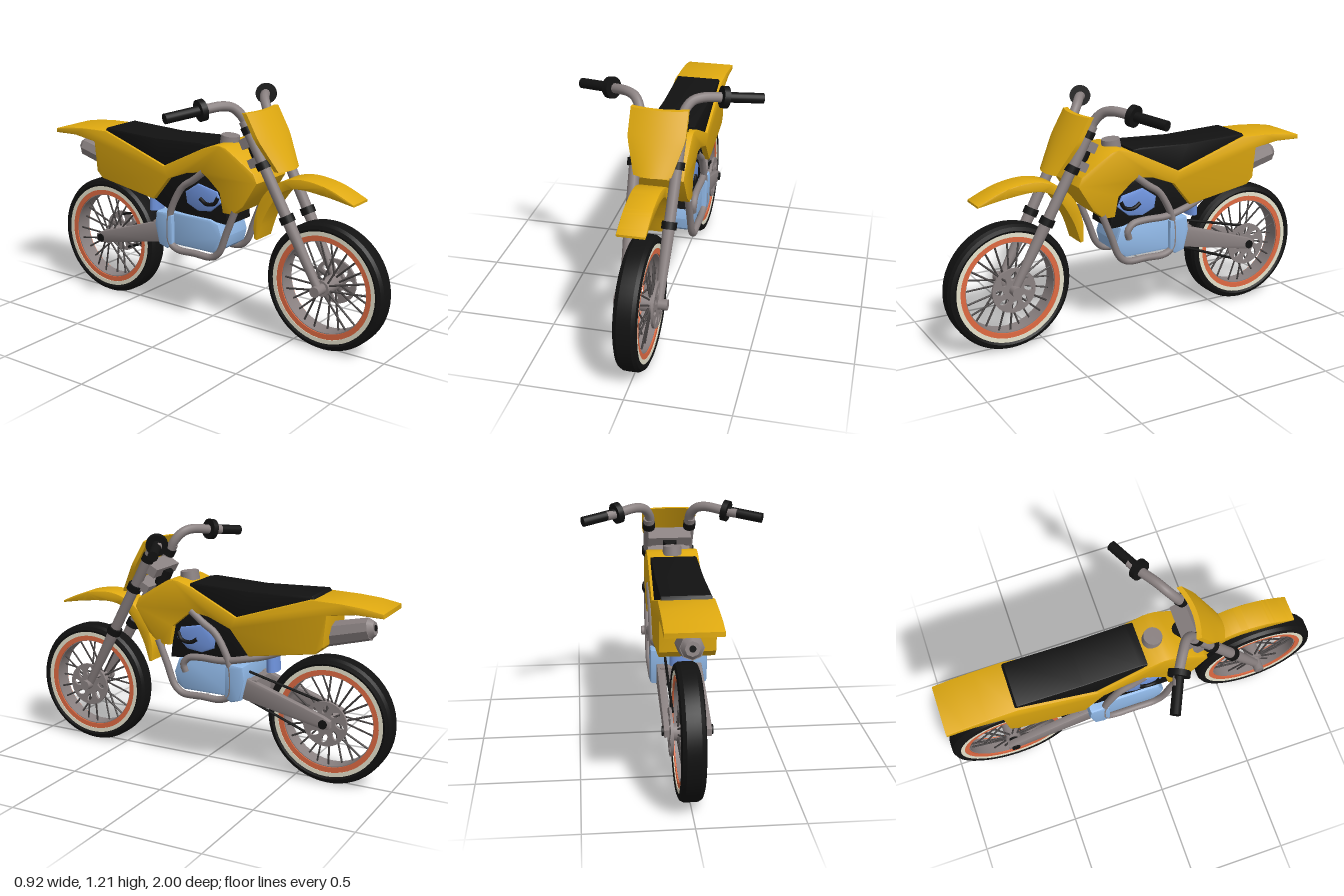
import * as THREE from 'three';
import { toCreasedNormals } from 'three/addons/utils/BufferGeometryUtils.js';

const mat = (name, color) => Object.assign(new THREE.MeshStandardMaterial({ color }), { name });
const yellow = mat('yellow bodywork', 0xe0aa10);
const black = mat('black rubber', 0x121212);
const gray = mat('gray metal', 0x8a8181);
const darkGray = mat('dark spokes', 0x494545);
const lightBlue = mat('light blue casing', 0x93bcec);
const blue = mat('blue cylinder', 0x6f94de);
const orange = mat('orange rim', 0xe06a42);
const cream = mat('cream rim stripe', 0xe6e2cc);

const V = (x, y, z) => new THREE.Vector3(x, y, z);
const v2 = (p) => new THREE.Vector2(p[0], p[1]);

function add(parent, name, geometry, material) {
  const mesh = new THREE.Mesh(geometry, material);
  mesh.name = name;
  parent.add(mesh);
  return mesh;
}

// Side outline in (z, y), given thickness in x and centred on x = cx
function slab(shape, width, bevel = 0.006, cx = 0) {
  if (Array.isArray(shape)) shape = new THREE.Shape(shape.map(v2));
  const geo = new THREE.ExtrudeGeometry(shape, {
    depth: width - 2 * bevel, bevelEnabled: bevel > 0, bevelSize: bevel, bevelThickness: bevel,
    bevelOffset: -bevel, bevelSegments: 2, curveSegments: 16,
  });
  geo.translate(0, 0, -(width - 2 * bevel) / 2).rotateY(-Math.PI / 2).translate(cx, 0, 0);
  return toCreasedNormals(geo, 0.6);
}

// Straight round bar between two points
function rod(a, b, ra, rb = ra, sides = 16) {
  const dir = b.clone().sub(a);
  const geo = new THREE.CylinderGeometry(rb, ra, dir.length(), sides);
  geo.applyQuaternion(new THREE.Quaternion().setFromUnitVectors(V(0, 1, 0), dir.clone().normalize()));
  const mid = a.clone().add(b).multiplyScalar(0.5);
  return geo.translate(mid.x, mid.y, mid.z);
}

function pipe(points, r, closed = false) {
  const curve = new THREE.CatmullRomCurve3(points, closed, 'centripetal');
  return new THREE.TubeGeometry(curve, 64, r, 12, closed);
}

// Closed (radius, width) section turned about the x axis
function ring(section) {
  const geo = new THREE.LatheGeometry([...section, section[0]].map(v2), 56).rotateZ(Math.PI / 2);
  return toCreasedNormals(geo, 0.5);
}
const band = (r0, r1, w) => ring([[r1, -w], [r1, w], [r0, w], [r0, -w]]);

function wheel(name, z) {
  const g = new THREE.Group();
  g.name = name;
  g.position.set(0, 0.322, z);
  add(g, 'tyre', ring([[0.272, -0.046], [0.292, -0.057], [0.31, -0.05], [0.32, -0.033], [0.321, 0],
    [0.32, 0.033], [0.31, 0.05], [0.292, 0.057], [0.272, 0.046]]), black);
  add(g, 'rimStripe', band(0.26, 0.283, 0.051), cream);
  add(g, 'rimFace', band(0.234, 0.262, 0.048), orange);
  add(g, 'rimBarrel', band(0.23, 0.24, 0.042), gray);
  add(g, 'hub', rod(V(-0.06, 0, 0), V(0.08, 0, 0), 0.04), gray);
  // crossed spokes
  for (let i = 0; i < 24; i++) {
    const a = (i / 24) * Math.PI * 2;
    const b = a + (i % 2 ? 0.22 : -0.22);
    const x = (i >> 1) % 2 ? 0.045 : -0.045;
    add(g, 'spoke', rod(V(x, 0.04 * Math.sin(b), 0.04 * Math.cos(b)),
      V(x * 0.3, 0.236 * Math.sin(a), 0.236 * Math.cos(a)), 0.005, 0.005, 6), darkGray);
  }
  // drilled brake disc
  const disc = new THREE.Shape().absarc(0, 0, 0.113, 0, Math.PI * 2);
  for (let i = 0; i < 8; i++) {
    const a = (i / 8) * Math.PI * 2;
    disc.holes.push(new THREE.Path().absellipse(0.074 * Math.cos(a), 0.074 * Math.sin(a), 0.024, 0.013, 0, Math.PI * 2, true, a + 0.5));
  }
  add(g, 'brakeDisc', slab(disc, 0.012, 0, 0.078), gray);
  return g;
}

export function createModel() {
  const model = new THREE.Group();
  model.name = 'dirtBike';
  const g = new THREE.Group();
  g.name = 'bike';
  g.position.x = 0.005;
  model.add(g);
  g.add(wheel('frontWheel', 0.68), wheel('rearWheel', -0.68));

  // Tank, side panels and tail in one shell
  add(g, 'bodyShell', slab([[0.23, 0.91], [0.165, 0.95], [0.13, 0.957], [0.1, 0.955], [0.03, 0.93],
    [-0.22, 0.805], [-0.61, 0.935], [-0.76, 0.931], [-0.87, 0.922], [-0.965, 0.905], [-0.965, 0.882],
    [-0.83, 0.886], [-0.69, 0.866], [-0.675, 0.71], [-0.64, 0.675], [-0.29, 0.618], [-0.19, 0.742],
    [-0.07, 0.79], [0.02, 0.805], [0.06, 0.78], [0.13, 0.72], [0.15, 0.62], [0.21, 0.62],
    [0.27, 0.67], [0.35, 0.8], [0.33, 0.845]], 0.26), yellow);
  add(g, 'seat', slab([[0.04, 0.945], [0, 0.951], [-0.28, 0.938], [-0.61, 0.95], [-0.625, 0.93],
    [-0.22, 0.79], [0.04, 0.915]], 0.232), black);
  add(g, 'fuelCap', rod(V(0, 0.94, 0.1), V(0, 0.985, 0.105), 0.05, 0.046, 24), gray);

  // Front mudguard
  const guard = new THREE.Shape();
  guard.moveTo(0.84, 0.765);
  guard.splineThru([[0.7, 0.822], [0.55, 0.84], [0.43, 0.805], [0.34, 0.72], [0.295, 0.6], [0.295, 0.5]].map(v2));
  guard.lineTo(0.31, 0.495);
  guard.splineThru([[0.345, 0.6], [0.4, 0.7], [0.46, 0.765], [0.55, 0.79], [0.7, 0.778], [0.84, 0.754]].map(v2));
  add(g, 'frontMudguard', slab(guard, 0.134, 0.004), yellow);

  // Bowed number board, narrowing at the bottom
  const board = new THREE.BoxGeometry(2, 1, 0.025, 12, 10, 1);
  const p = board.attributes.position;
  for (let i = 0; i < p.count; i++) {
    const u = p.getX(i), t = p.getY(i) + 0.5;
    const half = 0.09 + 0.048 * Math.min(1, t / 0.55);
    p.setXYZ(i, u * half, 0.862 + 0.273 * t, 0.46 - 0.155 * t - 0.025 * u * u + p.getZ(i));
  }
  board.computeVertexNormals();
  add(g, 'numberBoard', toCreasedNormals(board, 0.6), yellow);

  // Forks, bars and grips on both sides
  const forkAt = (s, y) => V(s * (0.084 + 0.03 * (y - 0.32)), y, 0.68 - 0.545 * (y - 0.32));
  for (const s of [-1, 1]) {
    add(g, 'forkLower', rod(forkAt(s, 0.31), forkAt(s, 0.65), 0.02, 0.03), gray);
    add(g, 'forkUpper', rod(forkAt(s, 0.64), forkAt(s, 1.09), 0.027), gray);
    for (const y of [0.645, 0.89, 1.05])
      add(g, 'forkCollar', rod(forkAt(s, y - 0.016), forkAt(s, y + 0.016), y > 1 ? 0.032 : 0.037), black);
    add(g, 'axleLug', rod(V(s * 0.058, 0.325, 0.68), V(s * 0.128, 0.325, 0.68), 0.026), gray);
    add(g, 'handlebar', pipe([V(s * 0.1, 1.05, 0.28), V(s * 0.106, 1.11, 0.25), V(s * 0.135, 1.153, 0.215),
      V(s * 0.18, 1.165, 0.185), V(s * 0.28, 1.152, 0.125), V(s * 0.33, 1.147, 0.1)], 0.024), gray);
    add(g, 'grip', rod(V(s * 0.26, 1.156, 0.137), V(s * 0.448, 1.132, 0.05), 0.025), black);
    add(g, 'gripFlange', rod(V(s * 0.262, 1.157, 0.137), V(s * 0.288, 1.152, 0.124), 0.053, 0.053, 20), black);
  }
  for (const [y, d, h] of [[0.9, 0.08, 0.045], [0.99, 0.08, 0.05]]) {
    const clamp = add(g, 'forkClamp', new THREE.BoxGeometry(0.22, h, d), gray);
    clamp.position.set(0, y, forkAt(1, y).z - 0.04);
    clamp.rotation.x = -0.5;
  }
  add(g, 'headTube', rod(V(0, 0.82, 0.31), V(0, 0.98, 0.235), 0.035), black);

  // Engine
  add(g, 'airbox', slab([[0.14, 0.75], [0.02, 0.82], [-0.15, 0.8], [-0.31, 0.61], [-0.22, 0.57], [0.16, 0.55]], 0.2), black);
  add(g, 'crankcase', slab([[0.135, 0.48], [0.11, 0.55], [0.06, 0.565], [-0.2, 0.565], [-0.2, 0.39],
    [0.08, 0.39], [0.12, 0.42]], 0.23, 0.015), lightBlue);
  add(g, 'rearCasing', slab([[-0.165, 0.55], [-0.2, 0.565], [-0.265, 0.56], [-0.275, 0.49], [-0.25, 0.385],
    [-0.2, 0.37], [-0.165, 0.39]], 0.278, 0.01), lightBlue);
  add(g, 'cylinder', slab([[0.125, 0.66], [0.1, 0.715], [-0.02, 0.74], [-0.1, 0.685], [-0.09, 0.625],
    [-0.02, 0.595], [0.06, 0.605]], 0.22, 0.012), blue);
  for (const s of [-1, 1])
    add(g, 'hose', pipe([V(s * 0.112, 0.69, 0.11), V(s * 0.116, 0.655, 0.09), V(s * 0.116, 0.645, 0.04), V(s * 0.112, 0.665, 0.0)], 0.01), black);
  add(g, 'reservoir', rod(V(0, 0.525, -0.37), V(0, 0.65, -0.365), 0.03), blue).scale.x = 1.8;

  // Cradle frame, exhaust and silencer
  for (const s of [-1, 1])
    add(g, 'frameTube', pipe([[0.22, 0.64], [0.17, 0.52], [0.125, 0.41], [0.08, 0.375], [-0.03, 0.373], [-0.14, 0.373],
      [-0.185, 0.4], [-0.195, 0.47], [-0.185, 0.56], [-0.14, 0.66], [-0.1, 0.715], [-0.04, 0.755], [0.03, 0.81]]
      .map(([z, y]) => V(s * 0.122, y, z)), 0.018), gray);
  add(g, 'exhaustPipe', pipe([V(0.115, 0.49, 0.065), V(0.12, 0.53, 0.075), V(0.12, 0.565, 0.045), V(0.12, 0.575, -0.02),
    V(0.12, 0.575, -0.15), V(0.11, 0.595, -0.26), V(0.08, 0.62, -0.37), V(0.03, 0.68, -0.52), V(0, 0.745, -0.68)], 0.018), gray);
  const silencer = rod(V(0, 0.735, -0.6), V(0, 0.797, -0.86), 0.062, 0.055, 8);
  add(g, 'silencer', toCreasedNormals(silencer, 0.3), gray);
  add(g, 'silencerEnd', rod(V(0, 0.797, -0.858), V(0, 0.802, -0.885), 0.054, 0.034, 8), gray);
  add(g, 'silencerOutlet', rod(V(0, 0.802, -0.88), V(0, 0.803, -0.888), 0.015), black);

  // Swingarm, rear axle and chain
  for (const s of [-1, 1])
    add(g, 'swingarm', slab([[-0.22, 0.495], [-0.28, 0.495], [-0.68, 0.362], [-0.715, 0.345], [-0.715, 0.31],
      [-0.68, 0.3], [-0.27, 0.385], [-0.22, 0.4]], 0.036, 0.005, s * 0.092), gray);
  add(g, 'rearAxle', rod(V(-0.118, 0.328, -0.68), V(0.118, 0.328, -0.68), 0.022), black);
  add(g, 'swingarmPivot', new THREE.BoxGeometry(0.19, 0.08, 0.08), gray).position.set(0, 0.45, -0.28);
  add(g, 'chainTop', rod(V(0.068, 0.525, -0.26), V(0.068, 0.42, -0.68), 0.007, 0.007, 6), black);
  add(g, 'chainBottom', rod(V(0.068, 0.39, -0.23), V(0.068, 0.235, -0.64), 0.007, 0.007, 6), black);
  return model;
}
